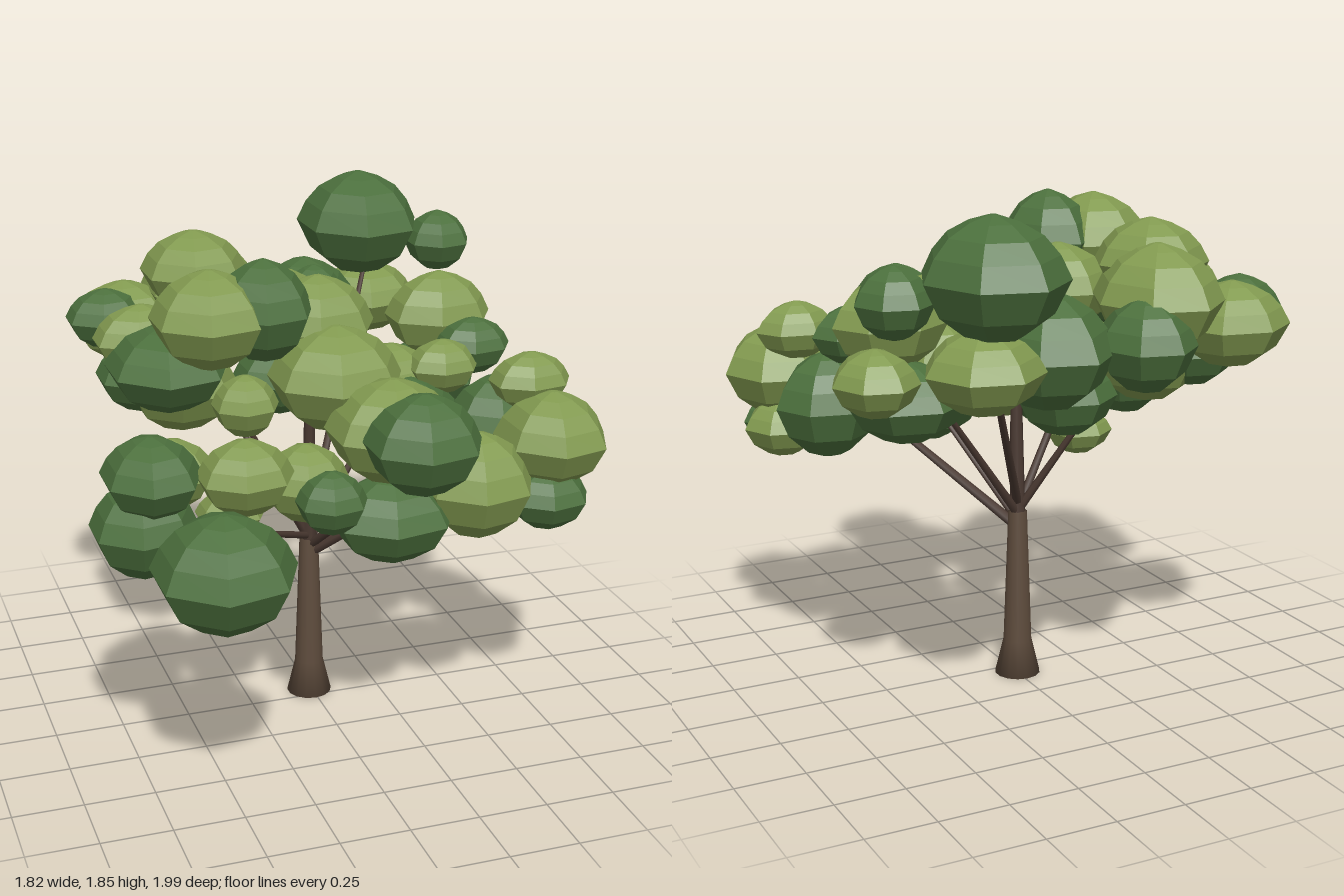
import * as THREE from 'three';

const darkGreen = new THREE.MeshStandardMaterial({ color: 0x4c703d, flatShading: true });
const lightGreen = new THREE.MeshStandardMaterial({ color: 0x829a50, flatShading: true });
const bark = new THREE.MeshStandardMaterial({ color: 0x5c4a3b });
const branchBark = new THREE.MeshStandardMaterial({ color: 0x4a3931 });
darkGreen.name = 'dark leaf';
lightGreen.name = 'light leaf';
bark.name = 'bark';
branchBark.name = 'branch bark';

// Leaf clumps: centre x, y, z, then radii along x, y, z
const darkClumps = [
  // back left
  [0.42, 1.645, -0.73, 0.238, 0.2, 0.272], [0.71, 1.575, -0.62, 0.13, 0.118, 0.138],
  [0.15, 1.36, -0.58, 0.22, 0.2, 0.265], [0.1, 1.49, -0.32, 0.12, 0.11, 0.12],
  [0.51, 1.15, -0.25, 0.21, 0.14, 0.2], [-0.01, 1.15, -0.41, 0.18, 0.14, 0.17],
  // middle and front left
  [0.6, 1.34, 0.01, 0.145, 0.105, 0.115], [0.65, 1.07, 0.13, 0.19, 0.19, 0.18],
  [0.31, 1.12, 0.12, 0.21, 0.16, 0.23], [0.68, 0.93, 0.52, 0.152, 0.115, 0.14],
  // front
  [0.13, 1.26, 0.72, 0.203, 0.172, 0.198], [-0.14, 1.04, 0.59, 0.125, 0.11, 0.12],
  [0.1, 0.93, 0.52, 0.225, 0.155, 0.2],
  // right and back right
  [-0.24, 1.59, 0.16, 0.175, 0.178, 0.19], [-0.55, 1.38, 0.03, 0.22, 0.15, 0.255],
  [-0.65, 1.42, -0.49, 0.152, 0.11, 0.138], [-0.15, 1.37, -0.7, 0.17, 0.16, 0.185],
  [-0.56, 1.24, -0.33, 0.17, 0.13, 0.18],
  // front right
  [-0.72, 1.16, 0.47, 0.17, 0.138, 0.205], [-0.745, 0.97, 0.44, 0.185, 0.17, 0.19],
  [-0.553, 0.91, 0.74, 0.246, 0.2, 0.26],
];
const lightClumps = [
  // left
  [0.69, 1.27, -0.41, 0.148, 0.115, 0.162], [0.54, 1.41, -0.18, 0.205, 0.165, 0.165],
  [0.45, 1.35, -0.72, 0.2, 0.14, 0.205], [0.29, 1.24, -0.01, 0.17, 0.13, 0.16],
  [0.45, 1.3, 0.09, 0.137, 0.1, 0.115], [0.68, 1.3, 0.34, 0.152, 0.105, 0.12],
  [0.71, 1.13, 0.47, 0.2, 0.168, 0.222], [0.4, 1.02, 0.54, 0.205, 0.188, 0.205],
  [0.73, 0.94, 0.38, 0.145, 0.11, 0.145],
  // middle
  [0.1, 1.24, 0.51, 0.232, 0.18, 0.225], [-0.02, 1.5, 0.08, 0.208, 0.175, 0.188],
  [-0.01, 1.355, 0.25, 0.24, 0.185, 0.235], [-0.09, 1.48, -0.2, 0.205, 0.16, 0.178],
  [-0.15, 1.02, 0.34, 0.16, 0.14, 0.16], [-0.32, 1.27, 0.2, 0.12, 0.11, 0.12],
  // right
  [-0.43, 1.575, 0.16, 0.21, 0.172, 0.215], [-0.27, 1.49, -0.57, 0.22, 0.19, 0.255],
  [-0.33, 1.59, -0.42, 0.2, 0.15, 0.21], [-0.56, 1.38, -0.58, 0.21, 0.15, 0.19],
  [-0.6, 1.44, -0.13, 0.18, 0.125, 0.14], [-0.43, 1.21, -0.25, 0.21, 0.16, 0.21],
  [-0.43, 1.16, 0.57, 0.167, 0.13, 0.15], [-0.61, 1.1, 0.31, 0.15, 0.12, 0.15],
  [-0.36, 0.85, 0.13, 0.13, 0.09, 0.12],
];

// Seven-sided gem-like clump with one corner facing +x
const clumpGeometry = new THREE.LatheGeometry(
  [[0, -1], [0.08, -0.99], [0.4, -0.89], [0.78, -0.54], [1, 0], [0.85, 0.38], [0.64, 0.68], [0.34, 0.89], [0.06, 1], [0, 1]]
    .map(([r, y]) => new THREE.Vector2(r, y)), 7, Math.PI / 2);

function makeClumps(list, material, name) {
  const group = new THREE.Group();
  group.name = name;
  for (const [x, y, z, rx, ry, rz] of list) {
    const clump = new THREE.Mesh(clumpGeometry, material);
    clump.name = 'leafClump';
    clump.position.set(x, y, z);
    clump.scale.set(rx, ry, rz);
    group.add(clump);
  }
  return group;
}

// Tapered straight limb between two points
function makeBranch(from, to, r0, r1) {
  const a = new THREE.Vector3(...from), b = new THREE.Vector3(...to);
  const dir = b.clone().sub(a);
  const limb = new THREE.Mesh(new THREE.CylinderGeometry(r1, r0, dir.length(), 7), branchBark);
  limb.name = 'branch';
  limb.position.copy(a).add(b).multiplyScalar(0.5);
  limb.quaternion.setFromUnitVectors(new THREE.Vector3(0, 1, 0), dir.normalize());
  return limb;
}

export function createModel() {
  const tree = new THREE.Group();
  tree.name = 'tree';

  // Trunk with a flared foot
  const trunk = new THREE.Mesh(new THREE.LatheGeometry(
    [[0, 0], [0.084, 0], [0.053, 0.13], [0.035, 0.63], [0, 0.64]]
      .map(([r, y]) => new THREE.Vector2(r, y)), 14), bark);
  trunk.name = 'trunk';
  trunk.position.set(-0.008, 0, -0.055);
  tree.add(trunk);

  // Branches fan out from the top of the trunk: start height, tip, base radius
  const branches = new THREE.Group();
  branches.name = 'branches';
  [
    [0.64, [-0.54, 0.95, 0.5], 0.014], [0.66, [0.42, 1.5, -0.65], 0.017],
    [0.57, [0.5, 1.08, 0.42], 0.02], [0.6, [0.15, 1.0, 0.42], 0.018],
    [0.63, [-0.32, 1.25, 0], 0.017], [0.63, [-0.28, 1.15, -0.26], 0.017],
    [0.62, [0.4, 1.15, -0.24], 0.017], [0.6, [-0.01, 1.4, -0.03], 0.03],
  ].forEach(([y, tip, r]) => branches.add(makeBranch([-0.008, y, -0.055], tip, r, r * 0.5)));
  tree.add(branches);

  tree.add(makeClumps(darkClumps, darkGreen, 'darkFoliage'));
  tree.add(makeClumps(lightClumps, lightGreen, 'lightFoliage'));
  return tree;
}
